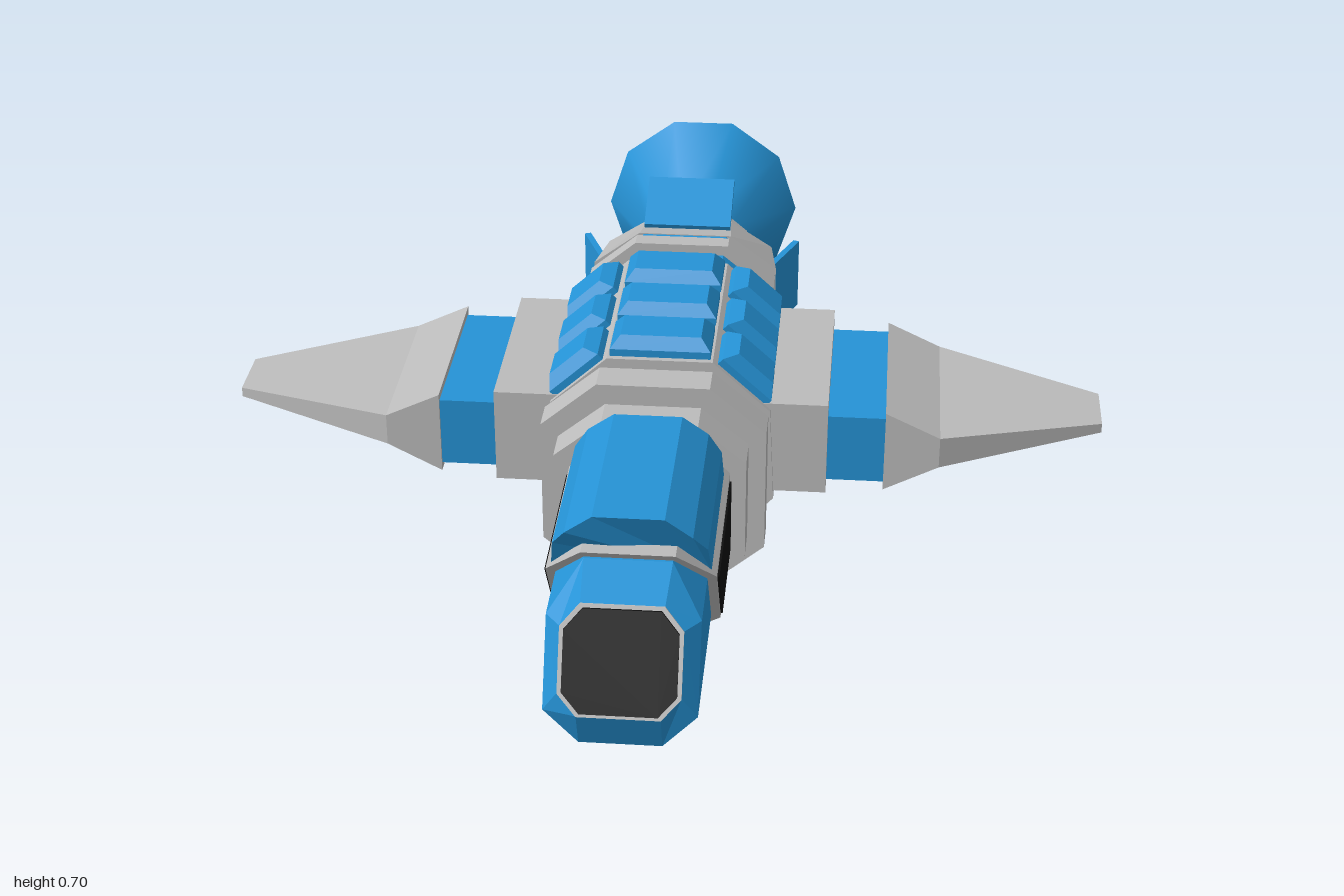
import * as THREE from 'three';

const flat = (name, color, extra = {}) => {
  const m = new THREE.MeshStandardMaterial({ color, ...extra });
  m.name = name;
  return m;
};

export function createModel() {
  const model = new THREE.Group();
  model.name = 'spaceship';
  const blue = flat('blue', 0x2593d6);
  const grey = flat('grey', 0xbcbcbc);
  const greyInside = flat('grey', 0xbcbcbc, { side: THREE.DoubleSide });
  const black = flat('black', 0x0e0e0e);
  const CY = 0.463; // height of the hull axis

  const add = (name, geo, mat, x = 0, y = 0, z = 0, parent = model) => {
    const mesh = new THREE.Mesh(geo, mat);
    mesh.name = name;
    mesh.position.set(x, y, z);
    parent.add(mesh);
    return mesh;
  };
  const box = (name, mat, x0, x1, y0, y1, z0, z1) =>
    add(name, new THREE.BoxGeometry(x1 - x0, y1 - y0, z1 - z0), mat,
      (x0 + x1) / 2, (y0 + y1) / 2, (z0 + z1) / 2);

  // Faceted skin between matching convex rings, closed at both ends
  const loft = (rings, flip = false) => {
    const out = [];
    const tri = (a, b, c) => out.push(...a, ...(flip ? c : b), ...(flip ? b : c));
    const n = rings[0].length;
    for (let r = 0; r < rings.length - 1; r++) {
      const A = rings[r], B = rings[r + 1];
      for (let i = 0; i < n; i++) {
        const j = (i + 1) % n;
        tri(A[i], B[i], A[j]);
        tri(A[j], B[i], B[j]);
      }
    }
    const F = rings[0], E = rings[rings.length - 1];
    for (let i = 1; i < n - 1; i++) {
      tri(F[0], F[i], F[i + 1]);
      tri(E[0], E[i + 1], E[i]);
    }
    const g = new THREE.BufferGeometry();
    g.setAttribute('position', new THREE.Float32BufferAttribute(out, 3));
    g.computeVertexNormals();
    return g;
  };
  // Mirrored section from its right half, listed bottom to top; z may follow y
  const sym = (half, z) => {
    const zs = typeof z === 'function' ? z : () => z;
    return [...half.map(([x, y]) => [x, y, zs(y)]),
      ...half.map(([x, y]) => [-x, y, zs(y)]).reverse()];
  };
  const oct = (w, h = w, fx = w * 0.5, fy = h * 0.58) =>
    [[fx, CY - h], [w, CY - fy], [w, CY + fy], [fx, CY + h]];
  const prism = (name, mat, half, z0, z1, half1 = half) =>
    add(name, loft([sym(half, z0), sym(half1, z1)]), mat);

  // Nose with a raked front window
  const rake = (y) => 1.0 - (y - 0.395) * 0.53;
  const frameZ = (y) => 0.8 - (0.6 - y) * 0.72;
  const win = [[0.075, 0.395], [0.11, 0.43], [0.11, 0.535], [0.075, 0.572]];
  const noseHalf = [[0.075, 0.318], [0.138, 0.385], [0.138, 0.535], [0.08, 0.6]];
  const noseZ = (y) => (y < 0.4 ? 0.97 : y < 0.56 ? 0.89 : 0.805);
  add('nose', loft([sym(win, rake), sym(noseHalf, noseZ), sym(noseHalf, (y) => frameZ(y) - 0.02)]), blue);
  const scaled = (s) => win.map(([x, y]) => [x * s, 0.4835 + (y - 0.4835) * s]);
  const plate = (s, t) => loft([sym(scaled(s), (y) => rake(y) + t), sym(scaled(s), (y) => rake(y) - 0.002)]);
  add('frontWindowFrame', plate(1.0, 0.002), grey);
  add('frontWindow', plate(0.93, 0.005), black);

  // Cockpit hull, side windows and raised canopy
  const cockpit = [[0.08, 0.305], [0.155, 0.375], [0.155, 0.545], [0.085, 0.615]];
  add('cockpitHull', loft([sym(cockpit, frameZ), sym(cockpit, 0.39)]), grey);
  const pane = new THREE.Shape([[0.745, 0.535], [0.41, 0.535], [0.41, 0.385], [0.637, 0.385]]
    .map(([z, y]) => new THREE.Vector2(-z, y)));
  for (const s of [-1, 1]) {
    const g = new THREE.ExtrudeGeometry(pane, { depth: 0.006, bevelEnabled: false });
    g.rotateY(Math.PI / 2);
    add('sideWindow', g, black, s > 0 ? 0.153 : -0.159);
  }
  const canopy = [[0.146, 0.548], [0.14, 0.61], [0.115, 0.648], [0.065, 0.683]];
  add('canopy', loft([sym(canopy, (y) => (y < 0.56 ? 0.75 : y < 0.62 ? 0.775 : 0.8)),
    sym(canopy.map(([x, y]) => [x, y - 0.006]), 0.418)]), blue);

  // Collars in front of and behind the main hull: [name, material, half width, half height, front z, back z]
  for (const [name, mat, w, h, z0, z1] of [
    ['frontCollar', grey, 0.186, 0.18, 0.395, 0.32],
    ['frontFlange', grey, 0.22, 0.222, 0.32, 0.25],
    ['frontCore', blue, 0.182, 0.178, 0.25, 0.17],
    ['rearCollar', grey, 0.186, 0.184, -0.27, -0.31],
    ['rearCore', blue, 0.18, 0.176, -0.31, -0.46],
    ['rearRing', grey, 0.2, 0.198, -0.362, -0.402],
  ]) prism(name, mat, oct(w, h), z0, z1);
  prism('engineHousing', grey, oct(0.2, 0.178), -0.455, -0.61, oct(0.183, 0.14));

  // Main hull and lower pod, with a blue band around both
  const hull = [[0.12, 0.24], [0.23, 0.36], [0.22, 0.56], [0.105, 0.665]];
  const pod = [[0.02, 0.007], [0.12, 0.105], [0.12, 0.26]];
  prism('mainHull', grey, hull, 0.175, -0.27);
  prism('pod', grey, pod, 0.175, -0.27);
  prism('podBand', blue, [[0.022, 0], [0.127, 0.102], [0.127, 0.25]], 0.02, -0.112);
  prism('hullBand', blue, [[0.126, 0.233], [0.236, 0.353], [0.236, 0.368]], 0.02, -0.112);
  prism('podNose', grey, [[0.015, 0.022], [0.11, 0.11], [0.11, 0.238]], 0.2, 0.17);
  prism('podFrontPlate', blue, [[0.012, 0.032], [0.097, 0.112], [0.097, 0.228]], 0.206, 0.199);

  // Bevelled roof panels, three across and three along
  const rect = (w, l, z) => [[w, -l, z], [w, l, z], [-w, l, z], [-w, -l, z]];
  const panel = (hw) => loft([rect(hw - 0.02, 0.042, 0.036), rect(hw, 0.06, 0.012), rect(hw, 0.06, -0.01)])
    .rotateX(-Math.PI / 2);
  for (const z of [0.103, -0.045, -0.195]) {
    add('roofPanel', panel(0.1), blue, 0, 0.668, z);
    for (const s of [-1, 1])
      add('shoulderPanel', panel(0.066), blue, s * 0.165, 0.614, z).rotation.z = -s * 0.74;
  }

  // Wings: root block, blue spar and tapered blade
  const wingRing = (x, y0, y1, z0, z1) => [[x, y0, z1], [x, y0, z0], [x, y1, z0], [x, y1, z1]];
  for (const s of [-1, 1]) {
    const span = (a, b) => (s > 0 ? [a, b] : [-b, -a]);
    box('wingRoot', grey, ...span(0.18, 0.335), 0.373, 0.573, -0.255, 0.165);
    box('wingSpar', blue, ...span(0.33, 0.455), 0.39, 0.535, -0.238, 0.14);
    add('wingBlade', loft([
      wingRing(s * 0.89, 0.453, 0.473, -0.115, 0.012),
      wingRing(s * 0.56, 0.432, 0.498, -0.25, 0.146),
      wingRing(s * 0.45, 0.375, 0.55, -0.25, 0.146),
    ], s < 0), grey);
  }

  // Quad gun cluster
  box('gunBase', grey, -0.07, 0.07, 0.085, 0.222, 0.2, 0.3);
  for (const z of [0.215, 0.29])
    box('gunBaseBand', blue, -0.073, 0.073, 0.082, 0.225, z, z + 0.012);
  for (const x of [-0.043, 0.043]) for (const y of [0.113, 0.195]) {
    const cube = (name, mat, r, z0, z1) => box(name, mat, x - r, x + r, y - r, y + r, z0, z1);
    cube('gunBody', grey, 0.023, 0.3, 0.4);
    cube('gunBand', blue, 0.025, 0.362, 0.374);
    cube('gunBarrel', grey, 0.008, 0.4, 0.5);
    cube('gunMuzzle', grey, 0.012, 0.465, 0.515);
  }

  // Four flared tail fins
  for (let k = 0; k < 4; k++) {
    const side = k % 2;
    const arm = new THREE.Group();
    arm.name = 'tailFin';
    arm.position.y = CY;
    arm.rotation.z = k * Math.PI / 2;
    add('finPlate', new THREE.BoxGeometry(side ? 0.16 : 0.19, 0.014, 0.145), blue,
      0, side ? 0.21 : 0.193, -0.583, arm).rotation.x = 0.38;
    model.add(arm);
  }

  // Engine neck, ring and bell
  prism('engineNeck', blue, oct(0.1, 0.097), -0.6, -0.775);
  prism('neckBase', grey, oct(0.12, 0.115), -0.6, -0.635);
  prism('neckRing', grey, oct(0.122, 0.122), -0.675, -0.712);
  const cone = (r1, r0, len) =>
    new THREE.CylinderGeometry(r1, r0, len, 10, 1, true, Math.PI / 2).rotateX(-Math.PI / 2);
  const bell = new THREE.Group();
  bell.name = 'engineBell';
  bell.position.y = CY;
  model.add(bell);
  add('bellOuter', cone(0.222, 0.1, 0.24), blue, 0, 0, -0.88, bell);
  add('bellInner', cone(0.2, 0.085, 0.22), greyInside, 0, 0, -0.89, bell);
  add('bellRim', new THREE.RingGeometry(0.2, 0.222, 10), greyInside, 0, 0, -1, bell);
  add('bellThroat', new THREE.CircleGeometry(0.09, 10), greyInside, 0, 0, -0.782, bell);

  return model;
}
